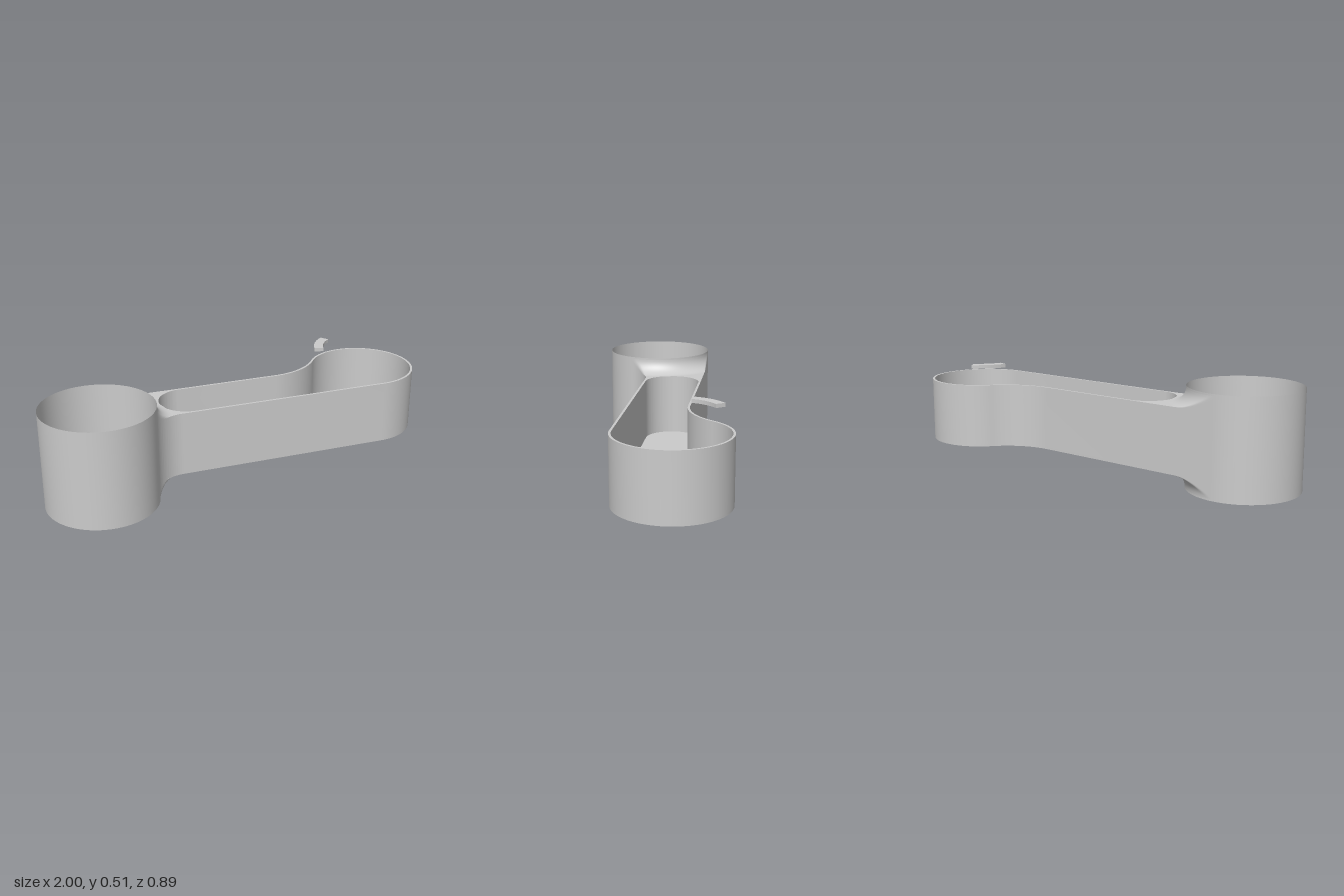
import * as THREE from 'three';
import { toCreasedNormals } from 'three/addons/utils/BufferGeometryUtils.js';

const TOP = 0.488, ARM_LOW = 0.084, ARM_TOP = 0.404; // heights
const HALF = 0.15, WALL = 0.011;                     // arm half width, rim thickness
const SLEEVE = { u: -0.738, r: 0.274, blend: 0.172 };
const BOSS = { u: 0.737, r: 0.27, blend: 0.33 };
SLEEVE.v = SLEEVE.r - HALF; // both rounds are tangent to one side of the arm
BOSS.v = HALF - BOSS.r;
const FILLET = 0.075;

// Length and angle of the plan blend between a straight side and a round end
function blendOf(round) {
  const rise = HALF - Math.abs(round.v) + round.blend;
  const run = Math.sqrt((round.r + round.blend) ** 2 - rise ** 2);
  return { run, angle: Math.atan2(rise, run) };
}

// Back side, boss and front side; shared by the outline and the pocket
function traceBoss(path, inset) {
  const b = blendOf(BOSS);
  path.absarc(BOSS.u - b.run, -HALF - BOSS.blend, BOSS.blend + inset, Math.PI / 2, b.angle, true);
  path.absarc(BOSS.u, BOSS.v, BOSS.r - inset, b.angle - Math.PI, Math.PI / 2, false);
}

function outlineShape() {
  const s = new THREE.Shape();
  const b = blendOf(SLEEVE);
  s.moveTo(SLEEVE.u, -HALF);
  traceBoss(s, 0);
  s.absarc(SLEEVE.u + b.run, HALF + SLEEVE.blend, SLEEVE.blend, -Math.PI / 2, b.angle - Math.PI, true);
  s.absarc(SLEEVE.u, SLEEVE.v, SLEEVE.r, b.angle, -Math.PI / 2, true);
  return s;
}

function pocketPath() {
  const p = new THREE.Path(), end = -0.27;
  p.moveTo(end, WALL - HALF);
  traceBoss(p, WALL);
  p.absarc(end, 0, HALF - WALL, Math.PI / 2, Math.PI * 1.5, false);
  return p;
}

// Upright slab from a plan shape
function slab(shape, low, high) {
  const g = new THREE.ExtrudeGeometry(shape, { depth: high - low, bevelEnabled: false, curveSegments: 32 });
  g.rotateX(Math.PI / 2).translate(0, high, 0);
  return toCreasedNormals(g, 0.5);
}

// Concave fillet around the sleeve, trimmed where it reaches the arm's sides
function filletGeometry() {
  const g = new THREE.PlaneGeometry(1, 1, 64, 14);
  const pos = g.attributes.position, uv = g.attributes.uv;
  const { r, blend } = SLEEVE, gamma = blendOf(SLEEVE).angle, reach = r + blend;
  for (let i = 0; i < pos.count; i++) {
    const theta = THREE.MathUtils.lerp(gamma, -Math.PI / 2, uv.getX(i));
    const t = (1 - uv.getY(i)) * Math.PI / 2;
    let out = FILLET * (1 - Math.cos(t));
    if (theta < 0) out = Math.min(out, r / -Math.sin(theta) - r);
    const side = reach * Math.sin(gamma - theta);
    if (Math.abs(side) < blend) {
      out = Math.min(out, reach * Math.cos(gamma - theta) - Math.sqrt(blend ** 2 - side ** 2) - r);
    }
    pos.setXYZ(i, SLEEVE.u + (r + out) * Math.cos(theta),
      ARM_TOP + FILLET * (1 - Math.sin(t)),
      SLEEVE.v + (r + out) * Math.sin(theta));
  }
  g.computeVertexNormals();
  return g;
}

export function createModel() {
  const group = new THREE.Group();
  group.name = 'crankArm';
  const material = new THREE.MeshStandardMaterial({ color: 0xcccccc, side: THREE.DoubleSide });
  const body = new THREE.Group();
  body.name = 'armBody';
  body.rotation.y = 0.071; // the arm runs slightly askew
  group.add(body);
  const add = (name, geometry, parent = body) => {
    const mesh = new THREE.Mesh(geometry, material);
    mesh.name = name;
    parent.add(mesh);
    return mesh;
  };

  // Floor and thin walls of the hollow arm
  add('armFloor', slab(outlineShape(), ARM_LOW, ARM_LOW + WALL));
  const rim = outlineShape();
  rim.holes.push(pocketPath());
  add('armWalls', slab(rim, ARM_LOW + WALL, ARM_TOP));

  // Open sleeve at the taller end
  const sleeve = new THREE.CylinderGeometry(SLEEVE.r, SLEEVE.r, TOP, 72, 1, true);
  add('sleeve', sleeve.translate(SLEEVE.u, TOP / 2, SLEEVE.v));

  // Fillets above and below the arm
  const fillet = filletGeometry();
  add('upperFillet', fillet);
  const lower = add('lowerFillet', fillet);
  lower.scale.y = -1;
  lower.position.y = TOP;

  // Small curved key hovering over the boss
  const key = new THREE.Shape();
  key.absarc(0.73, -0.18, 0.252, 3.34, 4.04, false);
  key.absarc(0.73, -0.18, 0.205, 4.04, 3.34, true);
  add('curvedKey', slab(key, 0.488, 0.506), group);

  return group;
}
